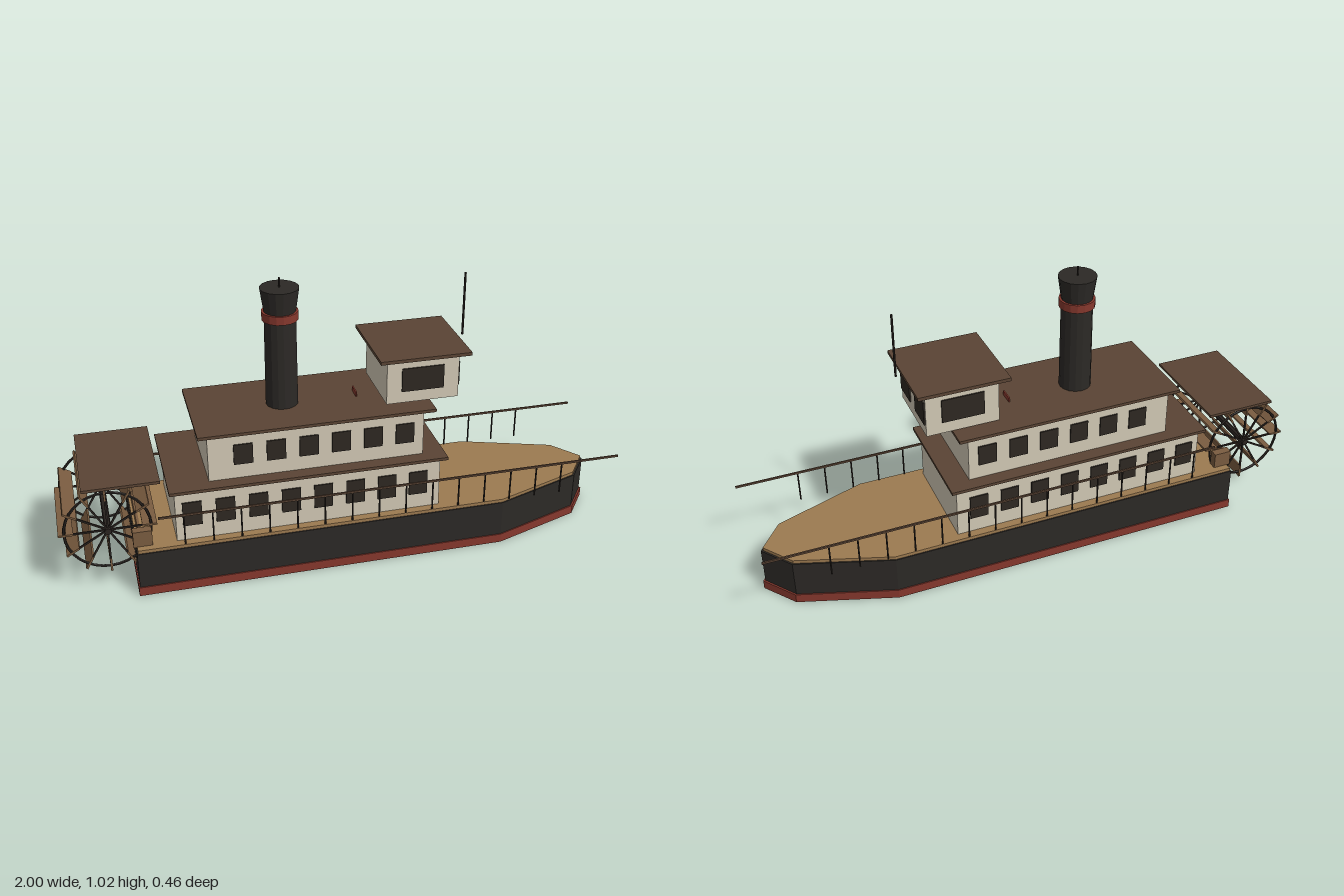
import * as THREE from 'three';

const mat = (color) => new THREE.MeshStandardMaterial({ color, flatShading: true });

export function createModel() {
  const boat = new THREE.Group();
  boat.name = 'paddleSteamer';
  const black = mat(0x2c2926), red = mat(0x86382d), tan = mat(0x9c7a50), brown = mat(0x5a4434);
  const cream = mat(0xd2c9b5), glass = mat(0x2e2822), iron = mat(0x2a2420), wood = mat(0x7a5c40);

  const add = (name, geometry, material, x = 0, y = 0, z = 0, parent = boat) => {
    const mesh = new THREE.Mesh(geometry, material);
    mesh.name = name;
    mesh.position.set(x, y, z);
    parent.add(mesh);
    return mesh;
  };
  // Box given by its limits in x and y and its half width in z
  const block = (name, x0, x1, y0, y1, halfZ, material) =>
    add(name, new THREE.BoxGeometry(x1 - x0, y1 - y0, halfZ * 2), material, (x0 + x1) / 2, (y0 + y1) / 2);
  // Upright cylinder from y0 to y1
  const column = (name, r0, r1, y0, y1, sides, material, x, z = 0) =>
    add(name, new THREE.CylinderGeometry(r1, r0, y1 - y0, sides), material, x, (y0 + y1) / 2, z);

  // Hull layers: pointed plan shape extruded upwards
  const hullLayer = (name, y0, y1, grow, material) => {
    const side = [[-0.75 - grow, 0.224 + grow], [0.56, 0.224 + grow], [0.89 + grow, 0.11 + grow]];
    const outline = [...side, [0.973 + grow * 2, 0], ...side.map(([x, z]) => [x, -z]).reverse()];
    const shape = new THREE.Shape(outline.map(([x, z]) => new THREE.Vector2(x, z)));
    const geometry = new THREE.ExtrudeGeometry(shape, { depth: y1 - y0, bevelEnabled: false });
    geometry.rotateX(-Math.PI / 2);
    add(name, geometry, material, 0, y0, 0);
  };
  hullLayer('hullBottom', 0, 0.033, 0.004, red);
  hullLayer('hull', 0.02, 0.166, 0, black);
  hullLayer('deck', 0.16, 0.178, -0.004, tan);

  // Cabins with overhanging roofs
  block('lowerCabin', -0.61, 0.325, 0.175, 0.37, 0.19, cream);
  block('lowerRoof', -0.628, 0.347, 0.368, 0.379, 0.212, brown);
  block('upperCabin', -0.487, 0.268, 0.378, 0.553, 0.163, cream);
  block('upperRoof', -0.52, 0.305, 0.55, 0.561, 0.186, brown);
  block('pilothouse', 0.142, 0.4, 0.572, 0.735, 0.13, cream);
  block('pilothouseRoof', 0.11, 0.433, 0.738, 0.75, 0.163, brown);

  // Rows of side windows
  const windowRow = (name, count, x0, step, w, h, y, z) => {
    const geometry = new THREE.BoxGeometry(w, h, 0.01);
    for (let i = 0; i < count; i++)
      for (const s of [1, -1]) add(name, geometry, glass, x0 + i * step, y, s * z);
  };
  windowRow('lowerWindow', 8, -0.553, 0.114, 0.066, 0.09, 0.28, 0.19);
  windowRow('upperWindow', 6, -0.367, 0.1134, 0.066, 0.075, 0.47, 0.163);
  windowRow('pilothouseSideWindow', 1, 0.27, 0, 0.15, 0.086, 0.658, 0.13);
  for (const s of [1, -1])
    add('pilothouseFrontWindow', new THREE.BoxGeometry(0.01, 0.086, 0.097), glass, 0.4, 0.658, s * 0.076);

  // Smokestack, mast and whistle
  const stackX = -0.197;
  column('smokestack', 0.057, 0.055, 0.56, 0.91, 16, black, stackX);
  column('smokestackBand', 0.063, 0.063, 0.875, 0.905, 16, red, stackX);
  column('smokestackCrown', 0.055, 0.067, 0.905, 0.987, 16, black, stackX);
  column('smokestackRod', 0.003, 0.003, 0.98, 1.021, 6, iron, stackX);
  column('mast', 0.004, 0.004, 0.745, 0.976, 6, iron, 0.455);
  block('whistle', 0.061, 0.066, 0.56, 0.578, 0.026, red);

  // Deck railings
  for (const s of [1, -1]) {
    const z = s * 0.217;
    add('handrail', new THREE.BoxGeometry(1.67, 0.007, 0.006), brown, 0.165, 0.294, z);
    for (let i = 0; i < 15; i++) column('railPost', 0.003, 0.003, 0.175, 0.294, 6, iron, -0.585 + i * 0.0975, z);
  }

  // Stern paddle wheel
  const wheel = new THREE.Group();
  wheel.name = 'paddleWheel';
  wheel.position.set(-0.835, 0.238, 0);
  boat.add(wheel);
  const axle = new THREE.CylinderGeometry(0.012, 0.012, 0.34, 8).rotateX(Math.PI / 2);
  add('axle', axle, iron, 0, 0, 0, wheel);
  for (const s of [1, -1])
    add('wheelRim', new THREE.TorusGeometry(0.145, 0.005, 6, 32), iron, 0, 0, s * 0.155, wheel);
  for (let i = 0; i < 12; i++) {
    const arm = new THREE.Group();
    arm.name = 'paddleArm';
    arm.rotation.z = i * Math.PI / 6;
    wheel.add(arm);
    add('paddle', new THREE.BoxGeometry(0.05, 0.007, 0.32), wood, 0.14, 0, 0, arm);
    for (const s of [1, -1])
      add('spoke', new THREE.BoxGeometry(0.15, 0.006, 0.006), iron, 0.075, 0, s * 0.155, arm);
  }

  // Wheel cover and bearing supports
  block('wheelCover', -0.91, -0.652, 0.414, 0.424, 0.196, brown);
  for (const s of [1, -1])
    add('wheelSupport', new THREE.BoxGeometry(0.065, 0.06, 0.03), wood, -0.725, 0.206, s * 0.18);

  return boat;
}
